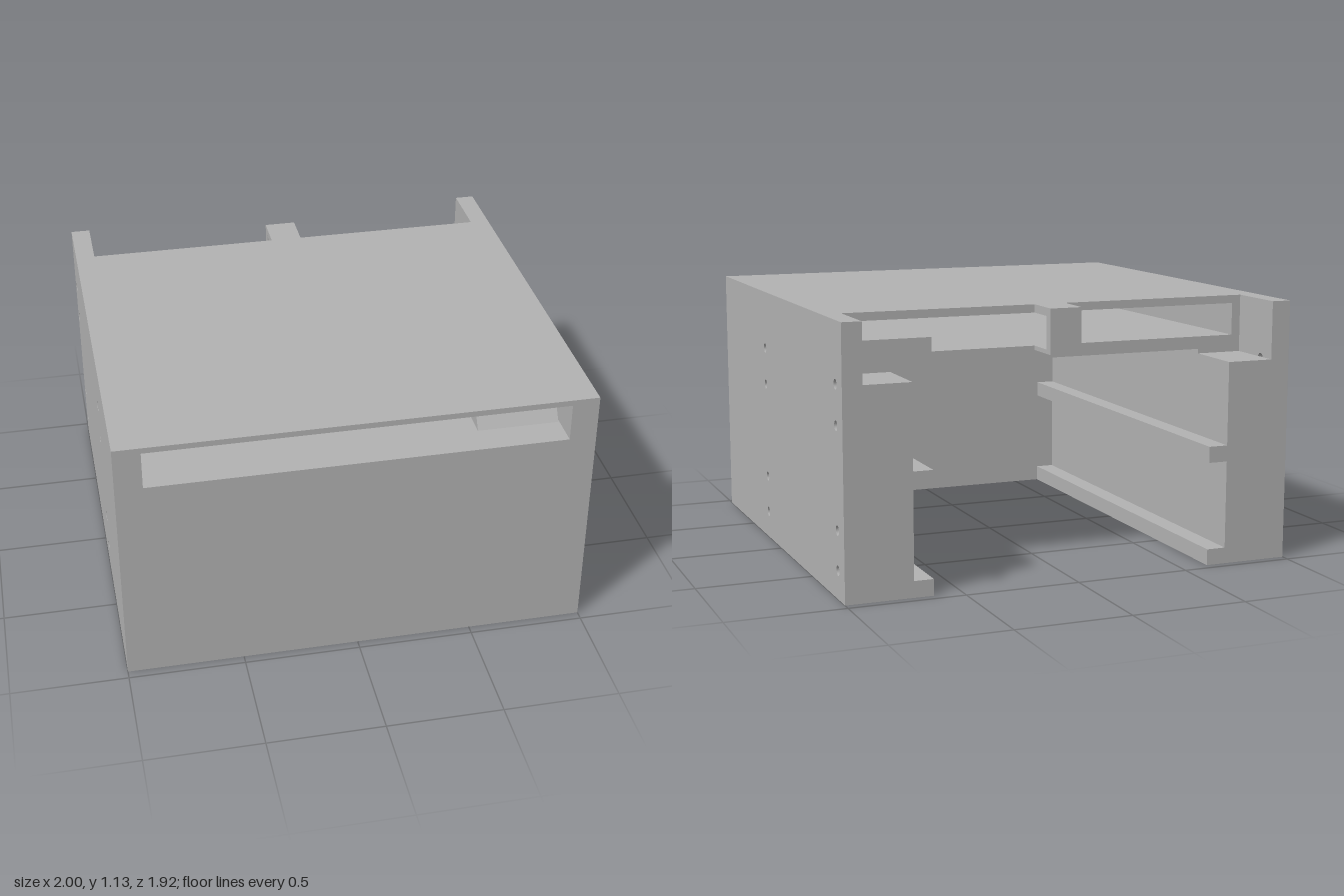
import * as THREE from 'three';

const BACK = -0.96, FRONT = 0.96, DECK_BACK = -0.685, WALL_FRONT = 0.885;

export function createModel() {
  const model = new THREE.Group();
  model.name = 'underDeskHousing';
  const grey = new THREE.MeshStandardMaterial({ color: 0xb2b2b2 });
  grey.name = 'plain grey';

  const add = (name, geometry) => {
    const mesh = new THREE.Mesh(geometry, grey);
    mesh.name = name;
    model.add(mesh);
    return mesh;
  };
  // Box given by its limits on each axis
  const box = (name, x0, x1, y0, y1, z0, z1) =>
    add(name, new THREE.BoxGeometry(x1 - x0, y1 - y0, z1 - z0))
      .position.set((x0 + x1) / 2, (y0 + y1) / 2, (z0 + z1) / 2);
  const polygon = (points) => new THREE.Shape(points.map(([x, y]) => new THREE.Vector2(x, y)));
  // Side profile in (z, y), extruded from x0 to x1
  const sideExtrude = (name, shape, x0, x1) => {
    const g = new THREE.ExtrudeGeometry(shape, { depth: x1 - x0, bevelEnabled: false, curveSegments: 16 });
    g.rotateY(Math.PI / 2);
    g.translate(x0, 0, 0);
    return add(name, g);
  };

  for (const [side, s] of [['left', 1], ['right', -1]]) {
    const sideBox = (name, a, b, ...rest) =>
      box(side + name, Math.min(a * s, b * s), Math.max(a * s, b * s), ...rest);

    // Outer panel with screw holes
    const panel = polygon([[-FRONT, 0], [-BACK, 0], [-BACK, 1.13], [-FRONT, 1.13]]);
    for (const z of [0.22, -0.87]) {
      for (const y of [0.12, 0.285, 0.71, 0.875]) {
        panel.holes.push(new THREE.Path().absarc(-z, y, 0.021, 0, Math.PI * 2, true));
      }
    }
    sideExtrude(side + 'Panel', panel, s > 0 ? 0.915 : -1, s > 0 ? 1 : -0.915);

    // Thick inner wall and its two drawer rails
    sideBox('InnerWall', 0.71, 0.915, 0, 0.88, BACK, FRONT);
    sideBox('LowerRail', 0.625, 0.71, 0, 0.07, BACK, WALL_FRONT);
    sideBox('UpperRail', 0.625, 0.71, 0.45, 0.52, BACK, WALL_FRONT);
  }

  // Closed front of the bay
  box('frontPanel', -0.71, 0.71, 0, 0.9, WALL_FRONT, FRONT);

  // Upper deck with a flat slot through it that narrows to the back
  const deck = polygon([
    [-0.915, 0.88], [-0.71, 0.88], [-0.71, 0.9], [0.71, 0.9],
    [0.71, 0.88], [0.915, 0.88], [0.915, 1.13], [-0.915, 1.13],
  ]);
  deck.holes.push(polygon([[-0.885, 0.94], [-0.885, 1.105], [0.885, 1.105], [0.885, 0.94]]));
  const deckGeometry = new THREE.ExtrudeGeometry(deck, { depth: FRONT - DECK_BACK, bevelEnabled: false });
  deckGeometry.translate(0, 0, DECK_BACK);
  const p = deckGeometry.attributes.position;
  for (let i = 0; i < p.count; i++) {
    const x = p.getX(i), y = p.getY(i);
    if (p.getZ(i) < 0 && Math.abs(x) < 0.9 && y > 0.92 && y < 1.12) {
      p.setXYZ(i, Math.sign(x) * 0.875, y < 1 ? 0.955 : 1.095, p.getZ(i));
    }
  }
  deckGeometry.computeVertexNormals();
  add('slottedDeck', deckGeometry);

  // Raised strip in the slot, with a ramp at the front
  sideExtrude('slotSpacer', polygon([
    [-0.83, 0.935], [-DECK_BACK, 0.955], [-DECK_BACK, 1.015], [-0.775, 1.015],
  ]), 0.53, 0.88);

  // Stop bracket behind the slot
  box('stopPlate', -0.07, 0.07, 0.937, 1.13, -0.85, -0.81);
  box('stopTopArm', -0.07, 0.07, 1.095, 1.13, -0.81, DECK_BACK);
  box('stopBottomArm', -0.07, 0.07, 0.937, 0.955, -0.81, DECK_BACK);

  return model;
}
